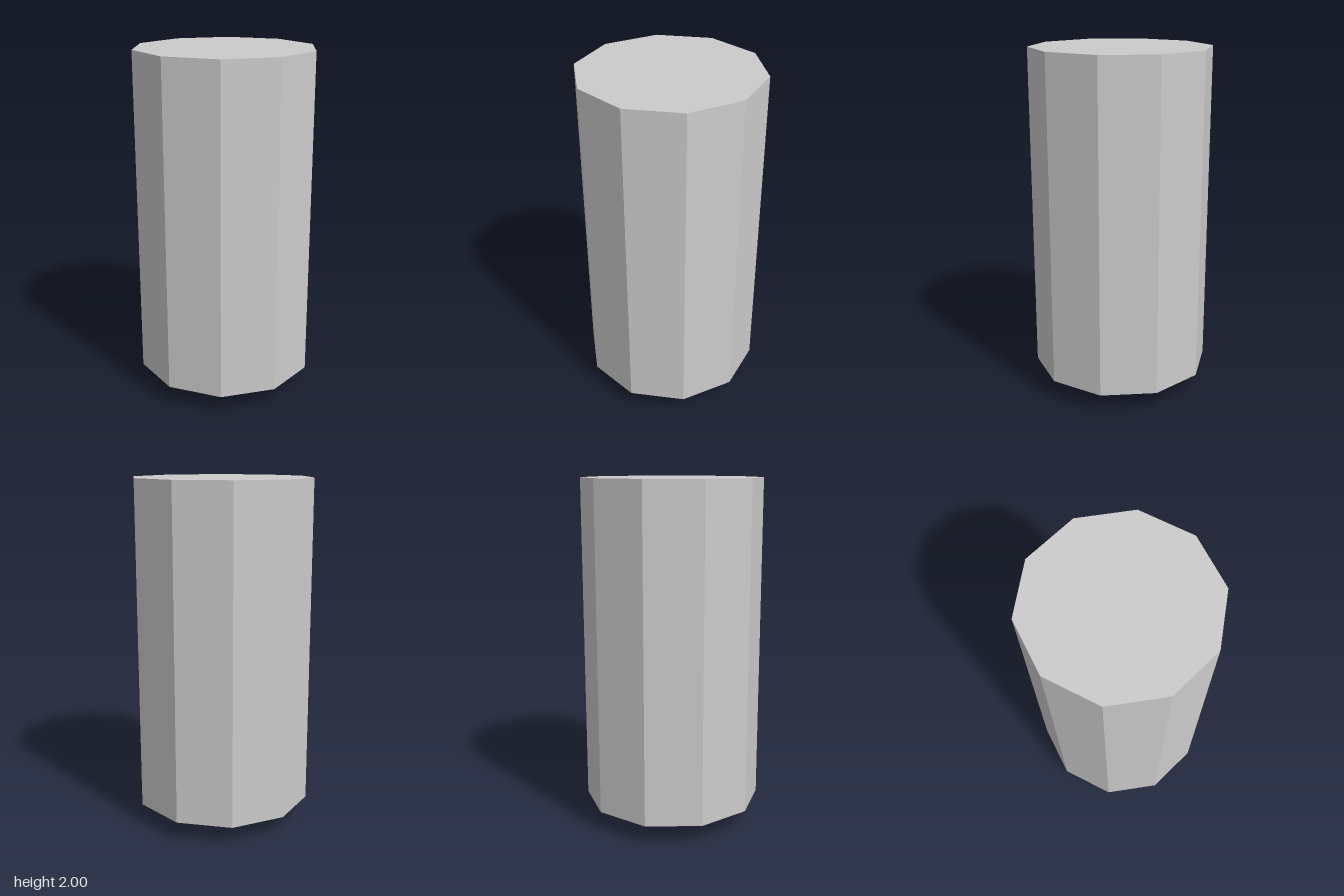
import * as THREE from 'three';

const SIDES = 10;

export function createModel() {
  const model = new THREE.Group();
  const material = new THREE.MeshStandardMaterial({ color: 0xcccccc, flatShading: true });

  // Upright ten-sided prism between two heights, a corner facing the front
  const addPrism = (name, radius, bottom, top) => {
    const height = top - bottom;
    const mesh = new THREE.Mesh(new THREE.CylinderGeometry(radius, radius, height, SIDES), material);
    mesh.name = name;
    mesh.position.y = bottom + height / 2;
    model.add(mesh);
  };

  addPrism('body', 0.515, 0.117, 2); // main cell
  addPrism('terminal', 0.198, 0, 0.117); // small stub underneath

  return model;
}
